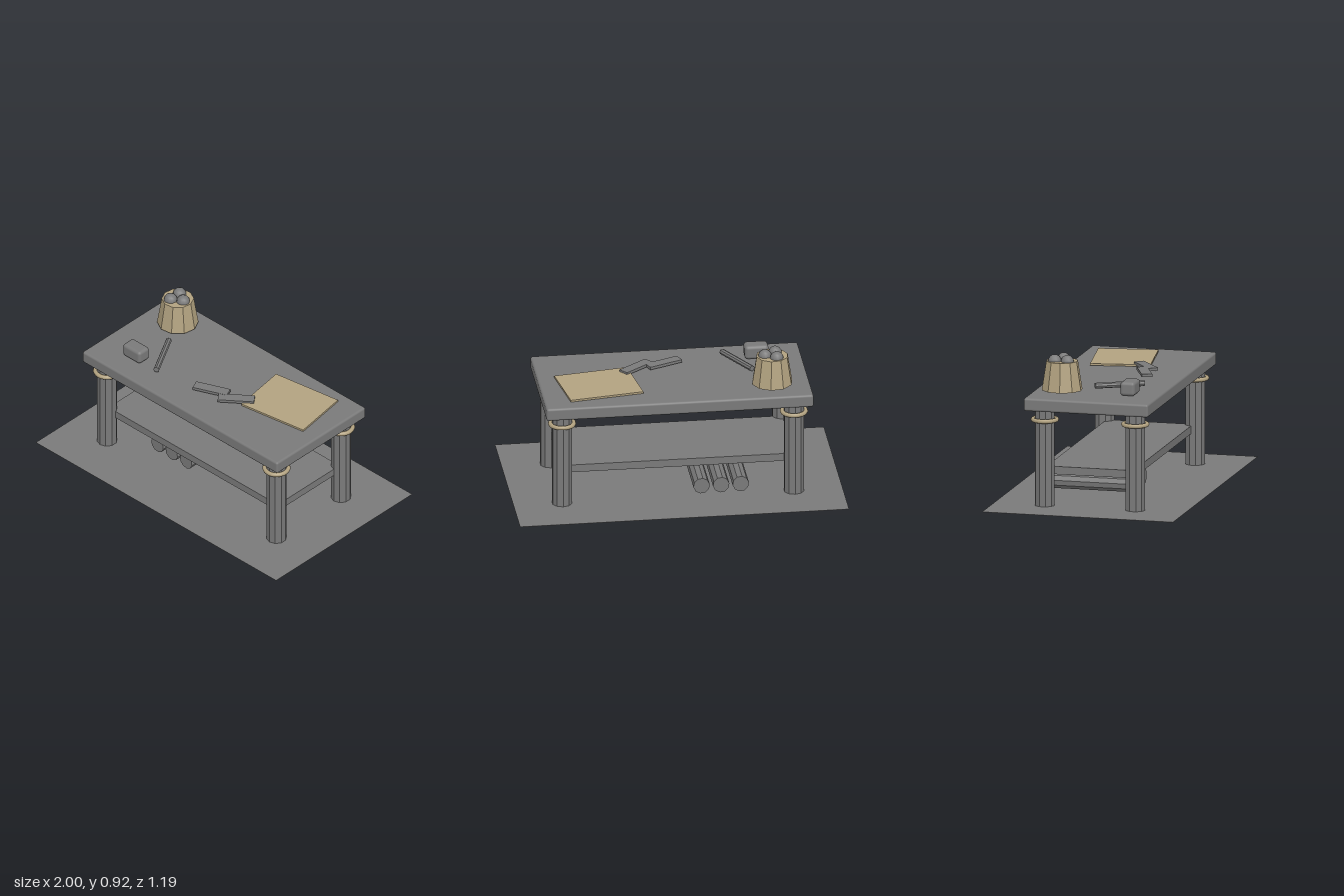
import * as THREE from 'three';
import { RoundedBoxGeometry } from 'three/addons/geometries/RoundedBoxGeometry.js';

const deg = Math.PI / 180;

// Gives every face its own flat normal
function faceted(geometry) {
  const flat = geometry.toNonIndexed();
  flat.computeVertexNormals();
  return flat;
}

export function createModel() {
  const grey = new THREE.MeshStandardMaterial({ color: 0x7a7a7a });
  grey.name = 'grey';
  const tan = new THREE.MeshStandardMaterial({ color: 0xb2a280 });
  tan.name = 'tan';

  const model = new THREE.Group();
  model.name = 'workTable';

  function add(name, geometry, material, x, y, z, rotationY = 0) {
    const mesh = new THREE.Mesh(geometry, material);
    mesh.name = name;
    mesh.position.set(x, y, z);
    mesh.rotation.y = rotationY * deg;
    model.add(mesh);
    return mesh;
  }

  // Floor mat, with the feet just poking through
  add('floorMat', new THREE.BoxGeometry(2, 0.002, 1.19), grey, 0, 0.006, 0);

  // Table top and lower shelf
  add('tableTop', new RoundedBoxGeometry(1.624, 0.08, 0.777, 2, 0.014), grey, 0, 0.64, 0);
  add('shelf', new THREE.BoxGeometry(1.41, 0.048, 0.54), grey, 0, 0.224, 0);

  // Four ten-sided legs with a ring round each
  const legGeometry = faceted(new THREE.CylinderGeometry(0.0617, 0.0617, 0.605, 10));
  const ringGeometry = new THREE.TorusGeometry(0.072, 0.0135, 8, 24).rotateX(Math.PI / 2);
  for (const x of [-0.705, 0.705]) {
    for (const z of [-0.282, 0.282]) {
      add('leg', legGeometry, grey, x, 0.3025, z);
      add('legRing', ringGeometry, tan, x, 0.535, z);
    }
  }

  // Row of logs under the shelf
  const logGeometry = faceted(new THREE.CylinderGeometry(0.05, 0.05, 0.525, 10))
    .rotateX(Math.PI / 2).rotateZ(9 * deg);
  for (let i = 0; i < 3; i++) {
    add('log', logGeometry, grey, -0.375 + i * 0.119, 0.093, -0.073);
  }

  // Tapered tub holding three balls
  add('tub', faceted(new THREE.CylinderGeometry(0.097, 0.125, 0.178, 10)), tan, -0.582, 0.787, -0.207, 26);
  const ballGeometry = new THREE.SphereGeometry(0.041, 12, 8);
  for (const [x, z] of [[-0.605, -0.247], [-0.605, -0.168], [-0.538, -0.208]]) {
    add('ball', ballGeometry, grey, x, 0.875, z);
  }

  // Mallet head and its loose handle
  add('malletHead', new RoundedBoxGeometry(0.145, 0.086, 0.092, 2, 0.02), grey, -0.537, 0.725, 0.205);
  add('malletHandle', faceted(new THREE.CylinderGeometry(0.018, 0.018, 0.306, 8)).rotateX(Math.PI / 2),
    grey, -0.409, 0.71, 0.107, 29.3);

  // Two overlapping strips
  const stripGeometry = new THREE.BoxGeometry(0.22, 0.018, 0.064);
  add('strip', stripGeometry, grey, 0.033, 0.7, 0.144, 22.8);
  add('strip', stripGeometry, grey, 0.205, 0.699, 0.108, 38);

  // Sheet lying on the table
  add('sheet', new THREE.BoxGeometry(0.455, 0.012, 0.366), tan, 0.457, 0.69, -0.094, 8.6);

  return model;
}
